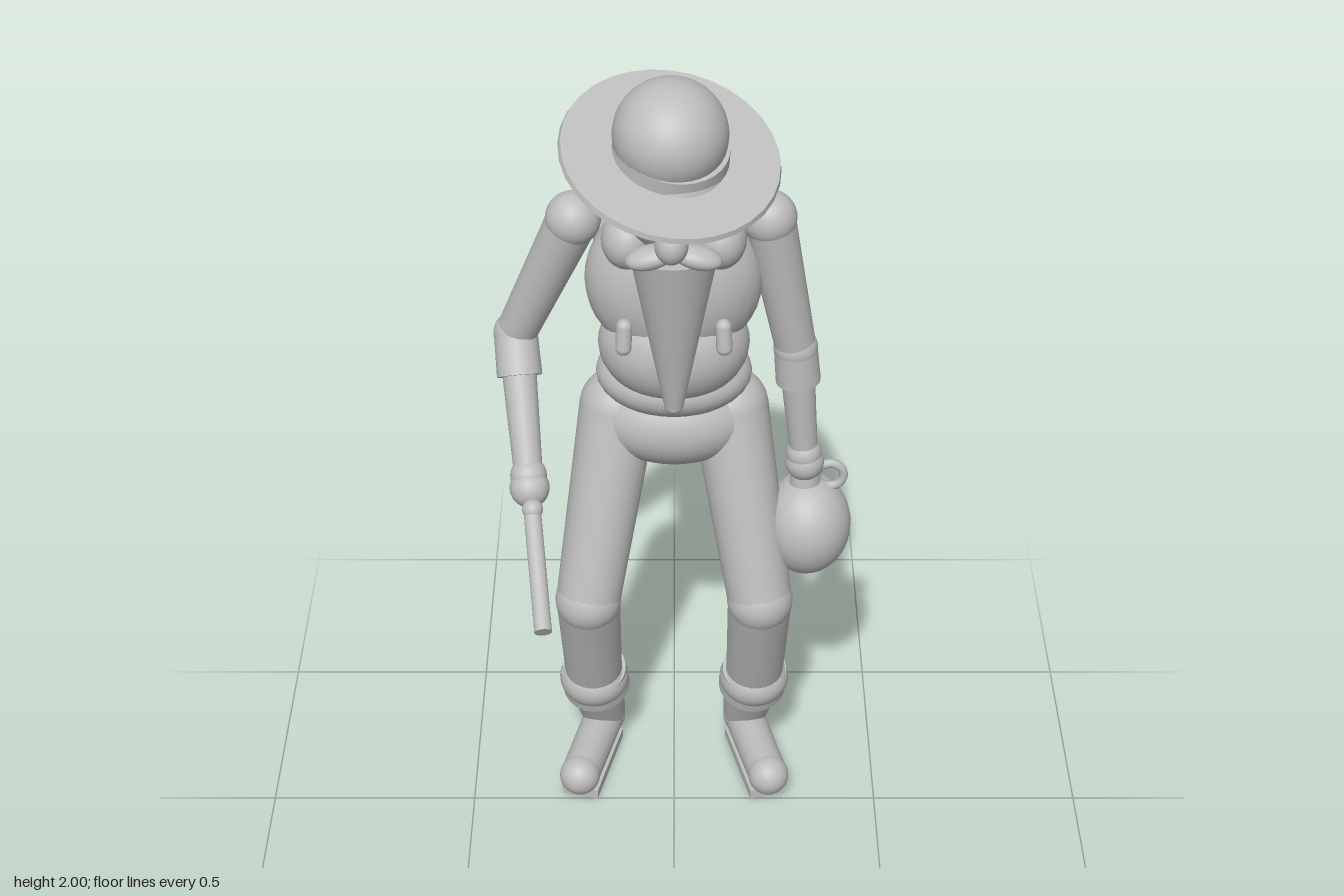
import * as THREE from 'three';

const grey = new THREE.MeshStandardMaterial({ color: 0xbdbdbd });
grey.name = 'grey clay';

export function createModel() {
  const model = new THREE.Group();
  model.name = 'prospector';

  const add = (name, geometry, parent = model) => {
    const mesh = new THREE.Mesh(geometry, grey);
    mesh.name = name;
    parent.add(mesh);
    return mesh;
  };
  // Ellipsoid at a point with three radii
  const ball = (name, [x, y, z], rx, ry = rx, rz = rx, parent = model) => {
    const mesh = add(name, new THREE.SphereGeometry(1, 32, 20), parent);
    mesh.position.set(x, y, z);
    mesh.scale.set(rx, ry, rz);
    return mesh;
  };
  // Tapered cylinder between two points
  const limb = (name, a, b, ra, rb = ra, parent = model) => {
    const start = new THREE.Vector3(...a), end = new THREE.Vector3(...b);
    const dir = end.clone().sub(start);
    const mesh = add(name, new THREE.CylinderGeometry(rb, ra, dir.length(), 24), parent);
    mesh.position.copy(start).add(end).multiplyScalar(0.5);
    mesh.quaternion.setFromUnitVectors(new THREE.Vector3(0, 1, 0), dir.normalize());
    return mesh;
  };
  const capsule = (name, a, b, r, parent = model) => {
    limb(name, a, b, r, r, parent);
    ball(name + 'Start', a, r, r, r, parent);
    ball(name + 'End', b, r, r, r, parent);
  };
  const mix = (a, b, t) => a.map((v, i) => v + (b[i] - v) * t);

  // Hat, tilted forward and to one side
  const hat = new THREE.Group();
  hat.name = 'hat';
  hat.position.set(-0.007, 1.832, 0.029);
  hat.rotation.set(0.31, 0, -0.16);
  model.add(hat);
  add('brim', new THREE.CylinderGeometry(0.236, 0.24, 0.012, 32), hat).scale.z = 1.04;
  add('hatBand', new THREE.CylinderGeometry(0.122, 0.127, 0.035, 32), hat).position.y = 0.02;
  ball('crown', [-0.007, 1.88, 0.03], 0.124, 0.12, 0.134);

  // Head
  ball('head', [-0.005, 1.755, 0.02], 0.13, 0.145, 0.14);
  limb('neck', [0, 1.55, -0.06], [0, 1.7, 0], 0.075, 0.07);
  ball('nose', [-0.005, 1.695, 0.175], 0.036, 0.043, 0.04);
  limb('beard', [0, 1.64, 0.08], [0, 1.225, 0.066], 0.1, 0.022);
  ball('beardTip', [0, 1.225, 0.066], 0.022);
  for (const s of [-1, 1]) {
    ball('ear', [s * 0.13 - 0.005, 1.755, -0.02], 0.04, 0.055, 0.055);
    ball('eye', [s * 0.055 - 0.005, 1.745, 0.145], 0.022);
    ball('whisker', [s * 0.1, 1.64, 0.05], 0.057, 0.066, 0.068);
    ball('moustache', [s * 0.05, 1.655, 0.155], 0.055, 0.025, 0.035).rotation.z = -s * 0.25;
  }

  // Torso, belt and hips
  ball('chest', [0, 1.45, -0.11], 0.2, 0.2, 0.135);
  ball('belly', [0, 1.29, -0.1], 0.172, 0.14, 0.135);
  ball('waist', [0, 1.18, -0.15], 0.18, 0.088, 0.15);
  ball('hips', [0, 1.035, -0.205], 0.195, 0.125, 0.145);

  // Backpack roll and straps
  ball('backpack', [-0.005, 1.52, -0.18], 0.178, 0.125, 0.12);
  for (const s of [-1, 1]) {
    capsule('upperStrap', [s * 0.1, 1.57, -0.02], [s * 0.095, 1.64, -0.1], 0.018);
    capsule('frontStrap', [s * 0.11, 1.39, 0.005], [s * 0.112, 1.34, 0.012], 0.018);
    capsule('backStrap', [s * 0.09, 1.42, -0.2], [s * 0.09, 1.345, -0.29], 0.018);
  }

  // Legs and boots
  for (const s of [-1, 1]) {
    const leg = new THREE.Group();
    leg.name = s > 0 ? 'leftLeg' : 'rightLeg';
    model.add(leg);
    const hip = [s * 0.13, 1.05, -0.2], knee = [s * 0.206, 0.58, -0.065];
    const ankle = [s * 0.2, 0.25, -0.18], heel = [s * 0.178, 0.065, -0.25], toe = [s * 0.235, 0.065, -0.015];
    ball('hipJoint', hip, 0.092, 0.092, 0.092, leg);
    limb('thigh', hip, knee, 0.092, 0.077, leg);
    ball('knee', knee, 0.079, 0.079, 0.079, leg);
    limb('shin', knee, ankle, 0.077, 0.07, leg);
    limb('bootCuff', mix(ankle, knee, 0.1), mix(ankle, heel, 0.2), 0.08, 0.084, leg);
    ball('cuffRoll', ankle, 0.086, 0.07, 0.09, leg);
    limb('bootShaft', ankle, mix(ankle, heel, 0.9), 0.074, 0.055, leg);
    ball('heel', heel, 0.052, 0.052, 0.052, leg);
    limb('foot', heel, toe, 0.05, 0.048, leg);
    ball('toe', toe, 0.05, 0.05, 0.05, leg);
    const sole = add('sole', new THREE.BoxGeometry(0.09, 0.025, 0.25), leg);
    sole.position.set(s * 0.205, 0.0125, -0.13);
    sole.rotation.y = s * 0.24;
  }

  // Arms: the left hangs straight, the right bends forward
  const arms = [
    ['leftArm', [0.21, 1.605, -0.105], [0.278, 1.25, -0.135], [0.307, 0.93, -0.14]],
    ['rightArm', [-0.222, 1.605, -0.1], [-0.362, 1.27, -0.165], [-0.33, 0.98, 0.04]],
  ];
  for (const [name, shoulder, elbow, hand] of arms) {
    const arm = new THREE.Group();
    arm.name = name;
    model.add(arm);
    ball('shoulder', shoulder, 0.062, 0.062, 0.062, arm);
    limb('upperArm', shoulder, elbow, 0.058, 0.047, arm);
    ball('elbow', elbow, 0.051, 0.051, 0.051, arm);
    limb('sleeve', elbow, mix(elbow, hand, 0.28), 0.05, 0.052, arm);
    limb('forearm', elbow, hand, 0.042, 0.032, arm);
    ball('wrist', mix(elbow, hand, 0.92), 0.042, 0.042, 0.042, arm);
    ball('hand', hand, 0.046, 0.046, 0.046, arm);
  }

  // Jug carried in the left hand
  ball('jug', [0.316, 0.752, -0.142], 0.106, 0.128, 0.115);
  limb('jugNeck', [0.31, 0.84, -0.142], [0.31, 0.91, -0.142], 0.04, 0.032);
  const handle = add('jugHandle', new THREE.TorusGeometry(0.032, 0.011, 10, 24));
  handle.position.set(0.368, 0.89, -0.142);

  // Rod with a grip held in the right hand
  limb('rod', [-0.33, 0.985, 0.03], [-0.292, 0.797, 0.342], 0.02);
  capsule('grip', [-0.33, 0.98, 0.03], [-0.343, 0.91, -0.03], 0.027);
  ball('thumb', [-0.322, 0.955, 0.09], 0.024);

  return model;
}
